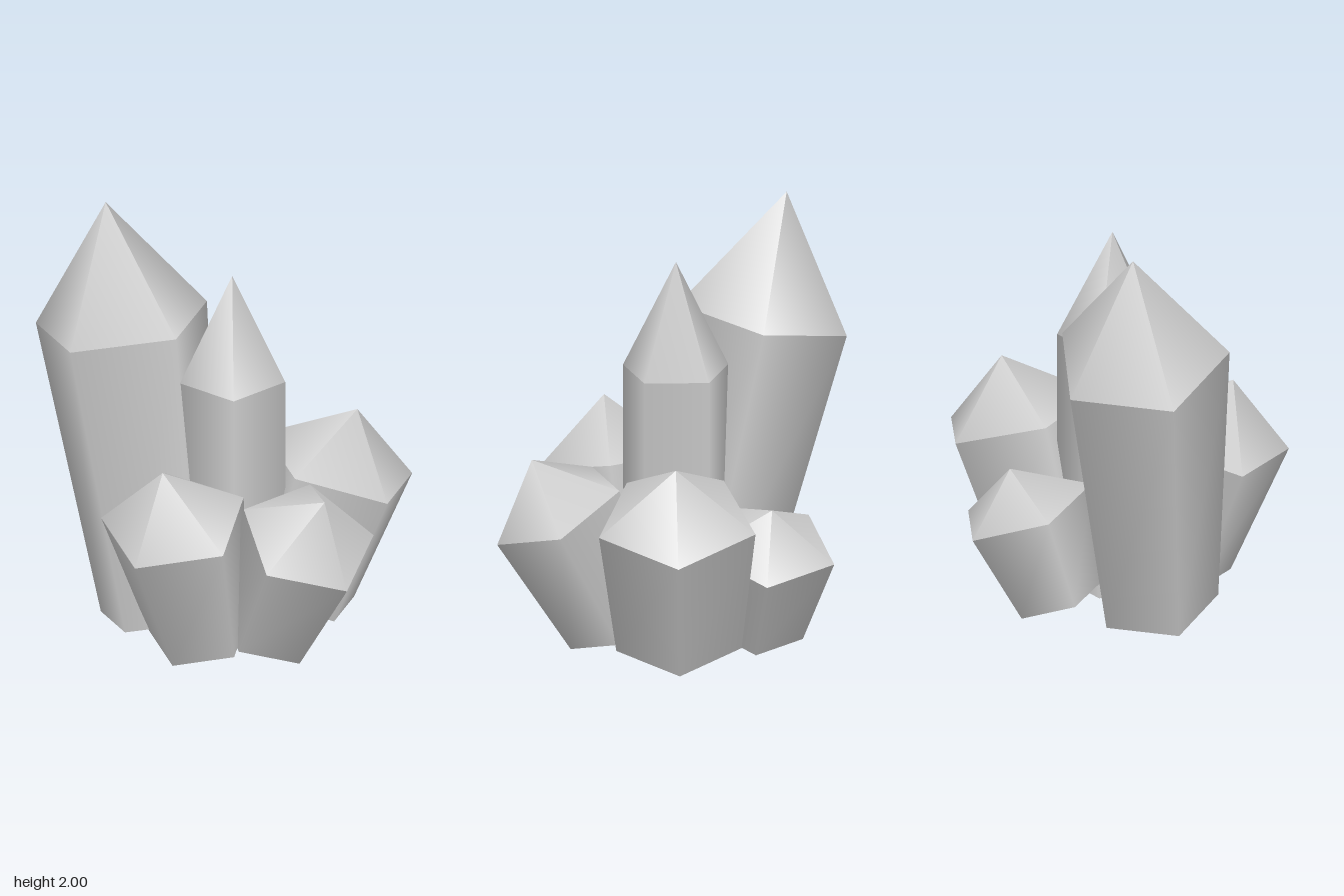
import * as THREE from 'three';

const SIDES = 5;
const UP = new THREE.Vector3(0, 1, 0);
const material = new THREE.MeshStandardMaterial({ color: 0xcccccc });

// One crystal: a tapered five-sided shaft from base to shoulder, capped by a pointed tip
function crystal({ name, base, shoulder, rBase, rTop, tip, yaw = 0, width = 1 }) {
  const start = new THREE.Vector3(...base);
  const axis = new THREE.Vector3(...shoulder).sub(start);
  const length = axis.length();

  const shaft = new THREE.Mesh(new THREE.CylinderGeometry(rTop, rBase, length, SIDES), material);
  shaft.name = name + 'Shaft';
  shaft.position.y = length / 2;

  const point = new THREE.Mesh(new THREE.ConeGeometry(rTop, tip, SIDES, 1, true), material);
  point.name = name + 'Tip';
  point.position.y = length + tip / 2;

  const body = new THREE.Group();
  body.add(shaft, point);
  body.rotation.y = yaw;

  const group = new THREE.Group();
  group.name = name;
  group.add(body);
  group.scale.x = width;
  group.position.copy(start);
  group.quaternion.setFromUnitVectors(UP, axis.normalize());
  return group;
}

const CRYSTALS = [
  // upright centre crystal, turned so a flat side faces the front
  { name: 'centreCrystal', base: [-0.035, 0.05, -0.015], shoulder: [-0.035, 1.29, -0.015], rBase: 0.252, rTop: 0.252, tip: 0.515, yaw: Math.PI },
  // tall crystal leaning backwards
  { name: 'tallBackCrystal', base: [-0.285, 0.05, -0.22], shoulder: [-0.285, 1.43, -0.514], rBase: 0.29, rTop: 0.413, tip: 0.582 },
  // short crystals leaning outwards around the centre
  { name: 'smallBackCrystal', base: [0.14, 0.083, -0.34], shoulder: [0.297, 0.515, -0.34], rBase: 0.226, rTop: 0.323, tip: 0.2 },
  { name: 'frontCrystal', base: [-0.038, 0.113, 0.272], shoulder: [-0.038, 0.684, 0.556], rBase: 0.245, rTop: 0.323, tip: 0.275 },
  { name: 'leftCrystal', base: [0.258, 0.106, 0.074], shoulder: [0.45, 0.73, 0.149], rBase: 0.3, rTop: 0.375, tip: 0.285 },
  { name: 'rightCrystal', base: [-0.321, 0.09, 0.116], shoulder: [-0.487, 0.738, 0.139], rBase: 0.254, rTop: 0.363, tip: 0.3, width: 0.93 },
];

export function createModel() {
  const model = new THREE.Group();
  model.name = 'crystalCluster';
  for (const spec of CRYSTALS) model.add(crystal(spec));
  return model;
}
